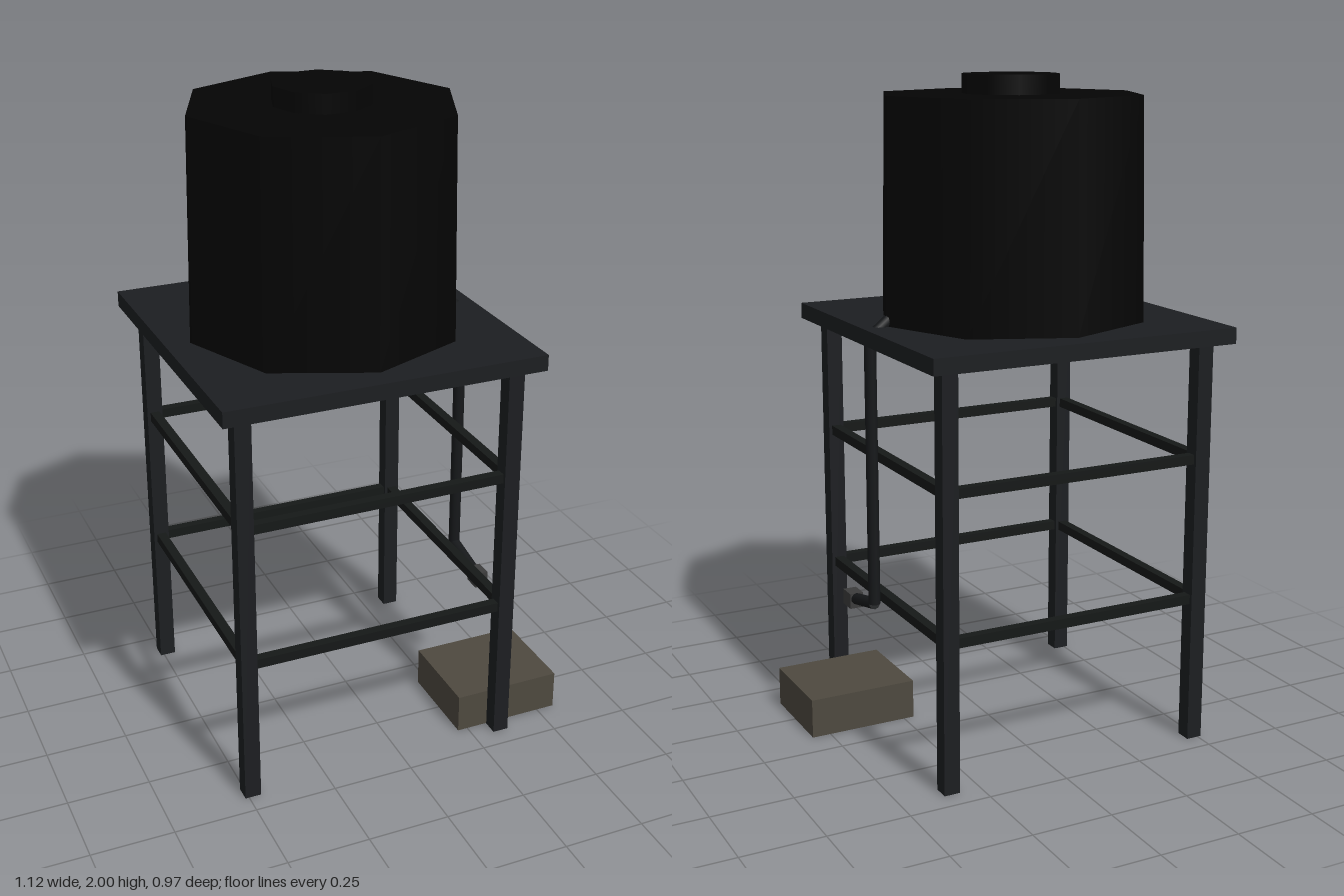
import * as THREE from 'three';

const CX = -0.073; // centre of the tower

function mat(color, flatShading = true, side = THREE.FrontSide) {
  return new THREE.MeshStandardMaterial({ color, flatShading, side });
}

// A box without its bottom face
function openBox(w, h, d) {
  const shell = new THREE.BoxGeometry(w, h, d);
  const index = Array.from(shell.index.array);
  index.splice(18, 6);
  shell.setIndex(index);
  shell.clearGroups();
  return shell;
}

export function createModel() {
  const model = new THREE.Group();
  const steel = mat(0x1c1e21), railSteel = mat(0x151817), plastic = mat(0x040404, false);
  const deckMat = mat(0x1c1e21, true, THREE.DoubleSide);
  const pipeMat = mat(0x16181a, false), tapMat = mat(0x3c3c3c);
  const crateMat = mat(0x4e493f, true, THREE.DoubleSide);

  function add(parent, name, geometry, material, x, y, z) {
    const mesh = new THREE.Mesh(geometry, material);
    mesh.name = name;
    mesh.position.set(x, y, z);
    parent.add(mesh);
    return mesh;
  }
  const box = (w, h, d) => new THREE.BoxGeometry(w, h, d);

  // Stand: platform open underneath, four legs reaching up into it, two levels of rails
  const stand = new THREE.Group();
  stand.name = 'stand';
  stand.position.x = CX;
  model.add(stand);
  add(stand, 'platform', openBox(0.97, 0.048, 0.97), deckMat, 0, 1.262, 0);
  const r = 0.414;
  for (const sx of [-1, 1])
    for (const sz of [-1, 1])
      add(stand, 'leg', box(0.049, 1.284, 0.049), steel, sx * r, 0.642, sz * r);
  for (const y of [0.451, 0.888])
    for (const s of [-1, 1]) {
      add(stand, 'crossRail', box(2 * r, 0.029, 0.029), railSteel, 0, y, s * r);
      add(stand, 'sideRail', box(0.029, 0.029, 2 * r), railSteel, s * r, y, 0);
    }

  // Eight-sided tapered tank with a round lid, both softly shaded
  add(model, 'tank', new THREE.CylinderGeometry(0.398, 0.411, 0.657, 8), plastic, CX, 1.6145, 0);
  const lid = add(model, 'lid', new THREE.CylinderGeometry(0.145, 0.145, 0.057, 10), plastic, CX, 1.9715, 0);
  lid.rotation.y = Math.PI / 2;

  // Outlet pipe: out of the tank, down through the platform, then forward
  const pipe = new THREE.Group();
  pipe.name = 'outletPipe';
  model.add(pipe);
  const path = [
    [0.315, 1.312, 0], [0.386, 1.255, 0], [0.386, 0.441, 0], [0.386, 0.406, 0.16],
  ].map((p) => new THREE.Vector3(...p));
  for (let i = 0; i < path.length - 1; i++) {
    const dir = path[i + 1].clone().sub(path[i]);
    const mid = path[i].clone().add(path[i + 1]).multiplyScalar(0.5);
    const seg = add(pipe, 'pipeSection', new THREE.CylinderGeometry(0.018, 0.018, dir.length(), 10), pipeMat, ...mid);
    seg.quaternion.setFromUnitVectors(new THREE.Vector3(0, 1, 0), dir.normalize());
  }
  add(pipe, 'tap', box(0.042, 0.048, 0.056), tapMat, 0.386, 0.404, 0.168);

  // Box on the ground, open underneath
  add(model, 'groundBox', openBox(0.34, 0.122, 0.291), crateMat, 0.388, 0.061, 0.242);

  return model;
}
